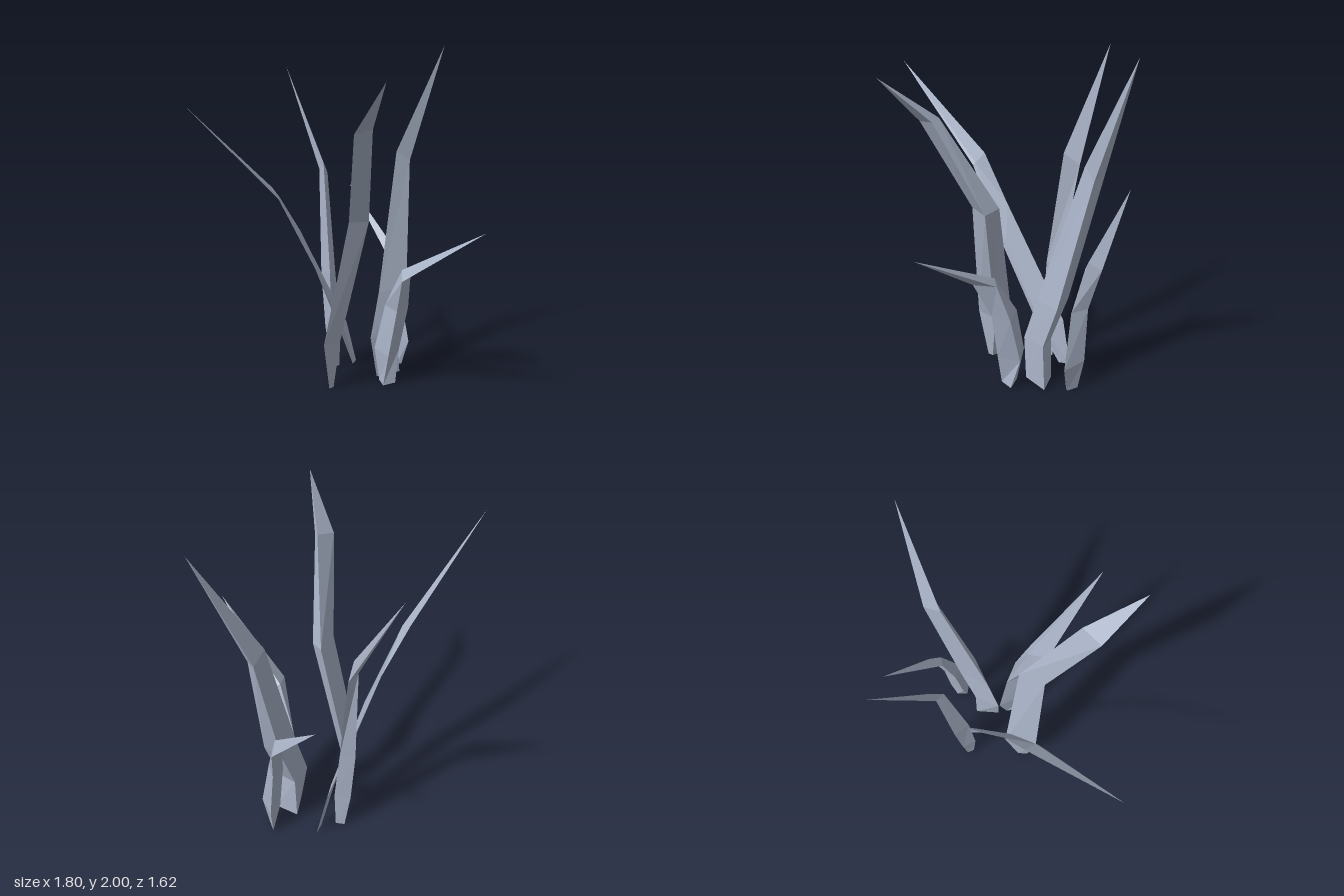
import * as THREE from 'three';

const steel = new THREE.MeshStandardMaterial({ color: 0xaab4c8, flatShading: true });
steel.name = 'paleSteel';

// Loft triangular rings up to a single tip; each ring is three [x, y, z] corners
function blade(name, rings, tip) {
  const tris = [];
  rings.slice(1).forEach((top, i) => {
    const low = rings[i];
    for (let j = 0; j < 3; j++) {
      const k = (j + 1) % 3;
      tris.push([low[j], low[k], top[k]], [low[j], top[k], top[j]]);
    }
  });
  const last = rings[rings.length - 1];
  for (let j = 0; j < 3; j++) tris.push([last[j], last[(j + 1) % 3], tip]);
  const [a, b, c] = rings[0];
  tris.push([c, b, a]);

  // Turn the faces outward if the corners run the other way round
  let volume = 0;
  const p = new THREE.Vector3(), q = new THREE.Vector3(), r = new THREE.Vector3();
  for (const t of tris) {
    volume += p.fromArray(t[0]).dot(q.fromArray(t[1]).cross(r.fromArray(t[2])));
  }
  if (volume < 0) tris.forEach((t) => t.reverse());

  const geometry = new THREE.BufferGeometry();
  geometry.setAttribute('position', new THREE.Float32BufferAttribute(tris.flat(2), 3));
  geometry.computeVertexNormals();
  const mesh = new THREE.Mesh(geometry, steel);
  mesh.name = name;
  return mesh;
}

export function createModel() {
  const group = new THREE.Group();
  group.name = 'grassTuft';
  group.add(
    // Tall blade curling forward
    blade('forwardCurlingBlade', [
      [[-0.065, 0, -0.09], [-0.03, 0, -0.09], [-0.02, 0, -0.13]],
      [[-0.125, 0.29, -0.07], [0.005, 0.28, -0.07], [0.04, 0.29, -0.18]],
      [[-0.055, 1.03, 0.065], [0.07, 1.02, 0.1], [0.09, 1.04, 0.0]],
      [[-0.235, 1.55, 0.285], [-0.12, 1.57, 0.31], [-0.105, 1.59, 0.27]],
    ], [-0.275, 1.83, 0.55]),

    // Long blade leaning to the right side
    blade('rightLeaningBlade', [
      [[0.39, 0, -0.32], [0.35, 0, -0.3], [0.33, 0, -0.29]],
      [[0.32, 0.27, -0.335], [0.22, 0.25, -0.25], [0.2, 0.22, -0.25]],
      [[-0.1, 0.94, -0.3], [-0.05, 0.75, -0.24], [-0.06, 0.71, -0.21]],
      [[-0.29, 1.21, -0.315], [-0.3, 1.165, -0.24], [-0.31, 1.15, -0.23]],
    ], [-0.9, 1.7, -0.25]),

    // Tall blade bending backward
    blade('backBlade', [
      [[0.2, 0, -0.33], [0.25, 0, -0.33], [0.215, 0, -0.37]],
      [[0.175, 0.25, -0.32], [0.26, 0.25, -0.33], [0.2, 0.25, -0.405]],
      [[0.18, 0.62, -0.34], [0.255, 0.6, -0.37], [0.2, 0.6, -0.44]],
      [[0.215, 1.29, -0.43], [0.295, 1.22, -0.48], [0.225, 1.25, -0.48]],
    ], [0.25, 1.87, -0.81]),

    // Short blade on the left, bending backward
    blade('shortBackBlade', [
      [[0.53, 0, -0.09], [0.55, 0, -0.07], [0.575, 0, -0.14]],
      [[0.51, 0.17, -0.13], [0.56, 0.16, -0.02], [0.6, 0.18, -0.16]],
      [[0.505, 0.5, -0.17], [0.545, 0.5, -0.09], [0.59, 0.5, -0.19]],
      [[0.54, 0.73, -0.22], [0.57, 0.78, -0.2], [0.63, 0.73, -0.25]],
    ], [0.585, 1.11, -0.58]),

    // Tallest blade leaning to the left side
    blade('leftLeaningBlade', [
      [[0.28, 0, -0.03], [0.445, 0, 0.01], [0.39, 0, -0.13]],
      [[0.245, 0.25, -0.05], [0.42, 0.27, 0.0], [0.39, 0.27, -0.12]],
      [[0.325, 0.52, -0.06], [0.51, 0.54, 0.0], [0.49, 0.56, -0.135]],
      [[0.56, 1.36, -0.14], [0.645, 1.3, -0.105], [0.66, 1.32, -0.18]],
    ], [0.9, 2.0, -0.055]),

    // Short blade reaching forward
    blade('frontBlade', [
      [[0.2, 0, 0.1], [0.285, 0, 0.12], [0.25, 0, 0.02]],
      [[0.2, 0.19, 0.14], [0.335, 0.19, 0.1], [0.26, 0.19, -0.03]],
      [[0.205, 0.48, 0.2], [0.325, 0.48, 0.18], [0.265, 0.48, 0.05]],
      [[0.145, 0.69, 0.29], [0.275, 0.7, 0.24], [0.235, 0.73, 0.21]],
    ], [0.22, 1.04, 0.81]),
  );
  return group;
}
